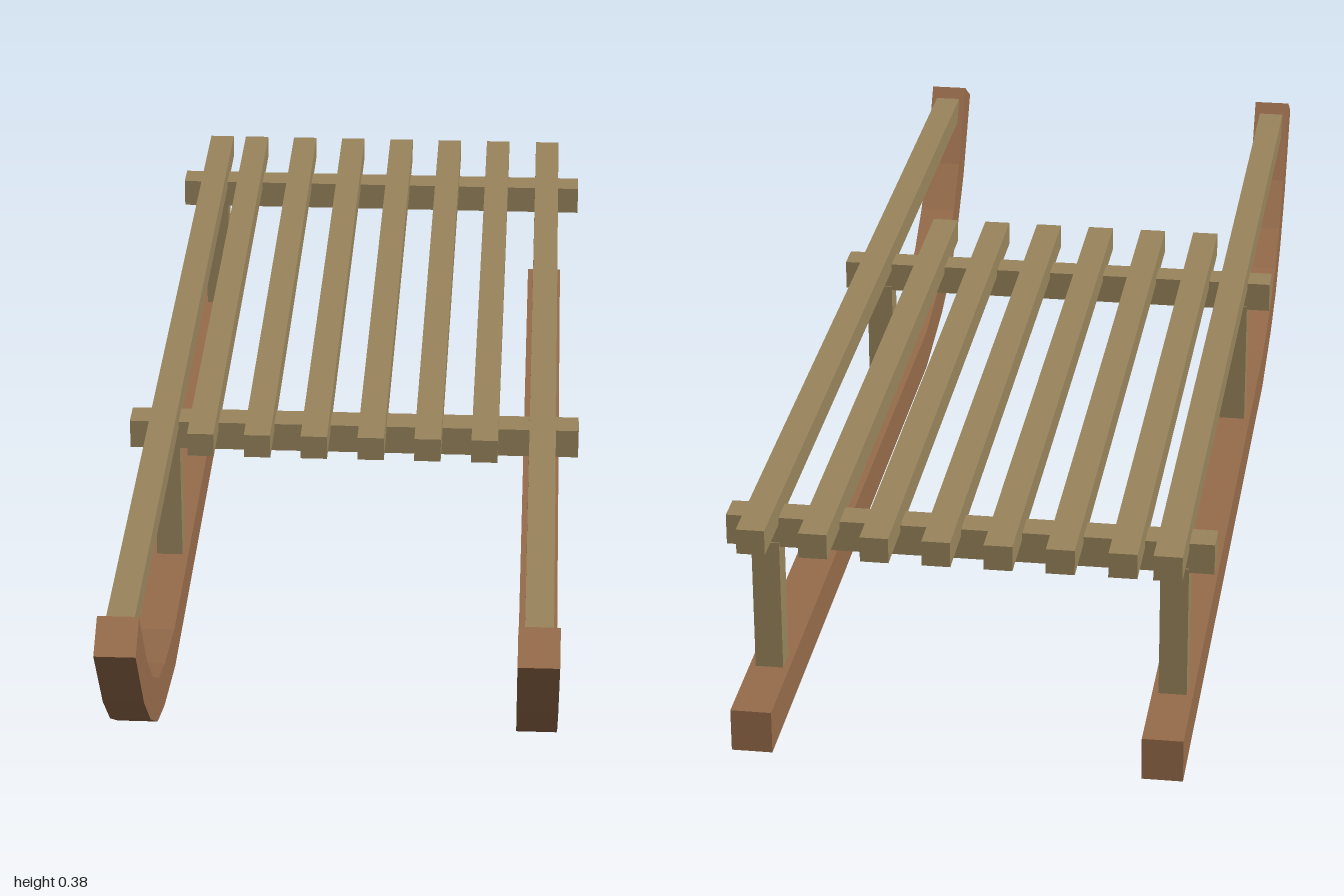
import * as THREE from 'three';

export function createModel() {
  const sled = new THREE.Group();
  sled.name = 'sled';

  const runnerWood = new THREE.MeshStandardMaterial({ color: 0x976c4b });
  runnerWood.name = 'reddish runner wood';
  const slatWood = new THREE.MeshStandardMaterial({ color: 0x9a865d });
  slatWood.name = 'pale slat wood';

  // Box given by its extents along each axis
  function beam(name, [x0, x1], [y0, y1], [z0, z1]) {
    const mesh = new THREE.Mesh(new THREE.BoxGeometry(x1 - x0, y1 - y0, z1 - z0), slatWood);
    mesh.position.set((x0 + x1) / 2, (y0 + y1) / 2, (z0 + z1) / 2);
    mesh.name = name;
    sled.add(mesh);
  }
  const around = (centre, size) => [centre - size / 2, centre + size / 2];

  // Runner side profile (z, y): underside to the tip, then back along the top
  const underside = [[-1, 0], [0.45, 0], [0.63, 0.032], [0.735, 0.067], [0.83, 0.13], [0.91, 0.21], [1, 0.345]];
  const upperSide = [[0.94, 0.381], [0.855, 0.253], [0.785, 0.182], [0.705, 0.13], [0.61, 0.1], [0.45, 0.07], [-1, 0.07]];
  const profile = new THREE.Shape([...underside, ...upperSide].map(([z, y]) => new THREE.Vector2(z, y)));
  const runnerWidth = 0.064;
  const runnerGeometry = new THREE.ExtrudeGeometry(profile, { depth: runnerWidth, bevelEnabled: false });
  runnerGeometry.translate(0, 0, -runnerWidth / 2);
  runnerGeometry.rotateY(-Math.PI / 2);

  const supports = [0.18, -0.83];

  for (const [side, label] of [[1, 'left'], [-1, 'right']]) {
    const x = side * 0.319;
    const runner = new THREE.Mesh(runnerGeometry, runnerWood);
    runner.position.x = x;
    runner.name = label + 'Runner';
    sled.add(runner);

    // Long side rail reaching into the curled tip
    beam(label + 'Rail', around(x, 0.044), [0.322, 0.363], [-0.96, 0.925]);

    // Uprights between runner and crossbar
    for (const z of supports) beam(label + 'Post', around(x, 0.044), [0.065, 0.29], around(z - 0.006, 0.042));
  }

  // Crossbars
  for (const z of supports) beam('crossbar', [-0.38, 0.38], [0.283, 0.333], around(z, 0.05));

  // Seat slats
  for (let i = 0; i < 6; i++) {
    beam('seatSlat', around(-0.251 + i * 0.0948, 0.044), [0.322, 0.363], [-0.96, 0.305]);
  }

  return sled;
}
